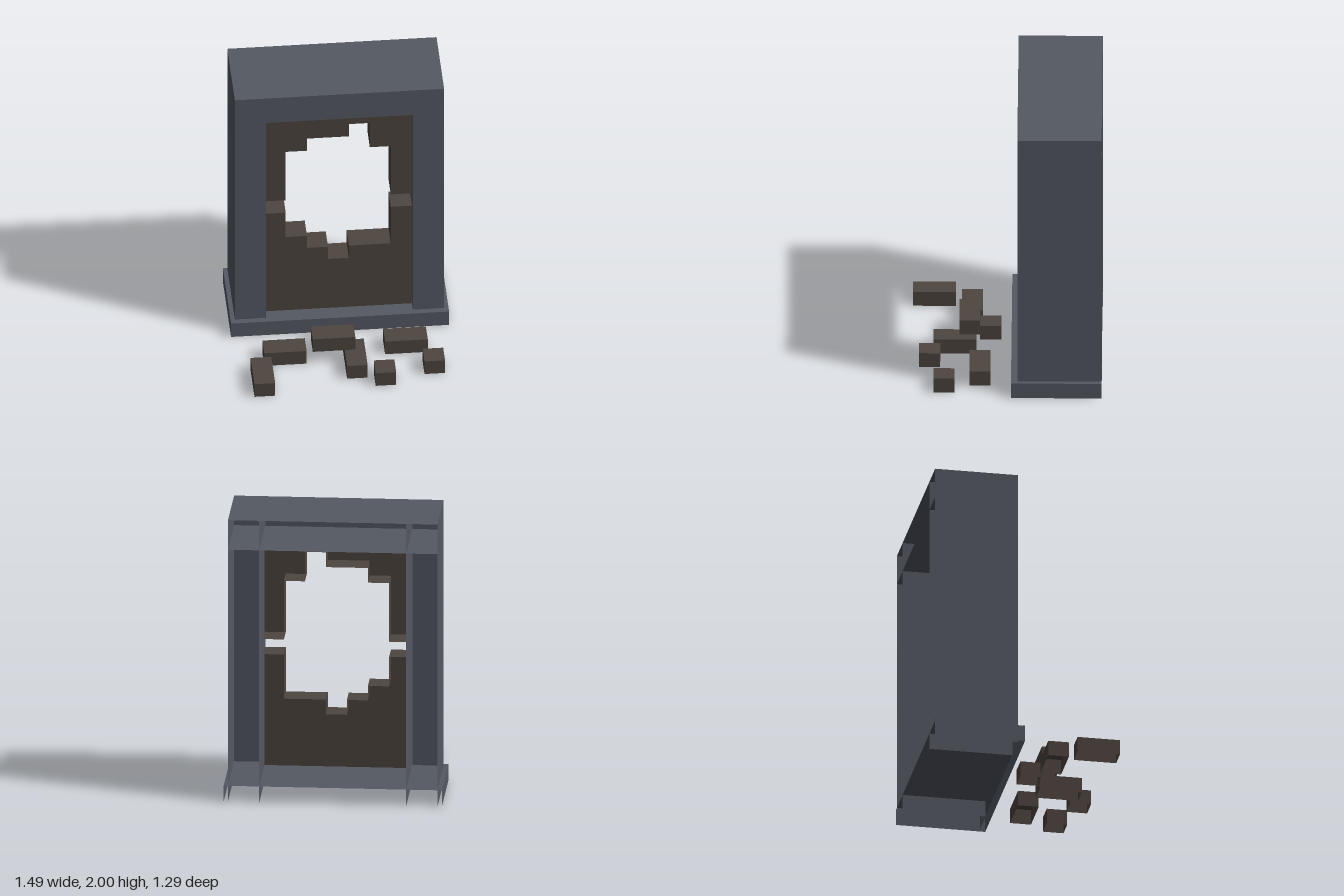
import * as THREE from 'three';

const stone = new THREE.MeshStandardMaterial({ color: 0x555963, side: THREE.DoubleSide });
stone.name = 'slate stone';
const brick = new THREE.MeshStandardMaterial({ color: 0x4e453f, side: THREE.DoubleSide });
brick.name = 'brown brick';

// Order of the sides in a box geometry
const SIDES = ['right', 'left', 'top', 'bottom', 'front', 'back'];

// Box between two corners that keeps only the listed sides
function openBox(name, [x0, x1], [y0, y1], [z0, z1], sides, material) {
  const geo = new THREE.BoxGeometry(x1 - x0, y1 - y0, z1 - z0);
  const all = Array.from(geo.index.array);
  geo.setIndex(sides.flatMap((s) => {
    const i = SIDES.indexOf(s) * 6;
    return all.slice(i, i + 6);
  }));
  geo.clearGroups();
  geo.translate((x0 + x1) / 2, (y0 + y1) / 2, (z0 + z1) / 2);
  const mesh = new THREE.Mesh(geo, material);
  mesh.name = name;
  return mesh;
}

// Sheet of brickwork with a broken edge; the edge runs back as a stepped rim
function brokenWall(name, edge, yEnd, zFront, zBack) {
  const group = new THREE.Group();
  group.name = name;
  const first = edge[0], last = edge[edge.length - 1];
  const outline = [...edge, [last[0], yEnd], [first[0], yEnd]];
  const sheet = new THREE.Mesh(
    new THREE.ShapeGeometry(new THREE.Shape(outline.map(([x, y]) => new THREE.Vector2(x, y)))), brick);
  sheet.position.z = zFront;
  sheet.name = name + 'Front';
  group.add(sheet);

  const points = [], index = [];
  for (let i = 0; i < edge.length - 1; i++) {
    const [ax, ay] = edge[i], [bx, by] = edge[i + 1], n = i * 4;
    points.push(ax, ay, zFront, bx, by, zFront, bx, by, zBack, ax, ay, zBack);
    index.push(n, n + 1, n + 2, n, n + 2, n + 3);
  }
  const geo = new THREE.BufferGeometry();
  geo.setAttribute('position', new THREE.Float32BufferAttribute(points, 3));
  geo.setIndex(index);
  geo.computeVertexNormals();
  const rim = new THREE.Mesh(geo, brick);
  rim.name = name + 'Rim';
  group.add(rim);
  return group;
}

export function createModel() {
  const model = new THREE.Group();
  model.name = 'brokenBrickDoorway';
  const depth = [-0.645, -0.073];

  // Stone frame, open at the back and below
  const frame = new THREE.Group();
  frame.name = 'stoneFrame';
  frame.add(openBox('base', [-0.743, 0.743], [0, 0.114], [-0.645, -0.03],
    ['right', 'left', 'top', 'front'], stone));
  frame.add(openBox('leftPillar', [0.5, 0.713], [0, 2], depth, ['right', 'left', 'front'], stone));
  frame.add(openBox('rightPillar', [-0.713, -0.5], [0, 2], depth, ['right', 'left', 'front'], stone));
  frame.add(openBox('lintel', [-0.713, 0.713], [1.79, 2], depth, ['top', 'bottom'], stone));
  frame.add(openBox('lintelFront', [-0.5, 0.5], [1.79, 2], depth, ['front'], stone));
  model.add(frame);

  // Bricked-up opening with a hole knocked through it
  model.add(brokenWall('lowerWall', [
    [0.5, 0.953], [0.356, 0.953], [0.356, 0.64], [0.07, 0.64], [0.07, 0.535], [-0.072, 0.535],
    [-0.072, 0.64], [-0.215, 0.64], [-0.215, 0.743], [-0.36, 0.743], [-0.36, 0.953], [-0.5, 0.953],
  ], 0.114, -0.145, -0.315));
  model.add(brokenWall('upperWall', [
    [-0.5, 1.06], [-0.36, 1.06], [-0.36, 1.476], [-0.215, 1.476], [-0.215, 1.58], [0.07, 1.58],
    [0.07, 1.685], [0.213, 1.685], [0.213, 1.476], [0.356, 1.476], [0.356, 1.06], [0.5, 1.06],
  ], 1.79, -0.145, -0.315));

  // Fallen bricks: x range, z range, height of the underside
  const rubble = new THREE.Group();
  rubble.name = 'fallenBricks';
  [
    [[-0.547, -0.258], [0.167, 0.309], 0],
    [[-0.644, -0.503], [0.351, 0.643], 0],
    [[-0.188, -0.048], [0.041, 0.184], 0],
    [[0, 0.14], [0.207, 0.5], 0],
    [[0.186, 0.326], [0.453, 0.596], 0],
    [[0.281, 0.572], [0.111, 0.254], 0],
    [[0.528, 0.668], [0.355, 0.496], 0],
    [[-0.218, 0.072], [0.184, 0.325], 0.11],
  ].forEach(([x, z, y], i) => rubble.add(openBox('fallenBrick' + (i + 1), x, [y, y + 0.108], z,
    ['right', 'left', 'top', 'front', 'back'], brick)));
  model.add(rubble);

  return model;
}
